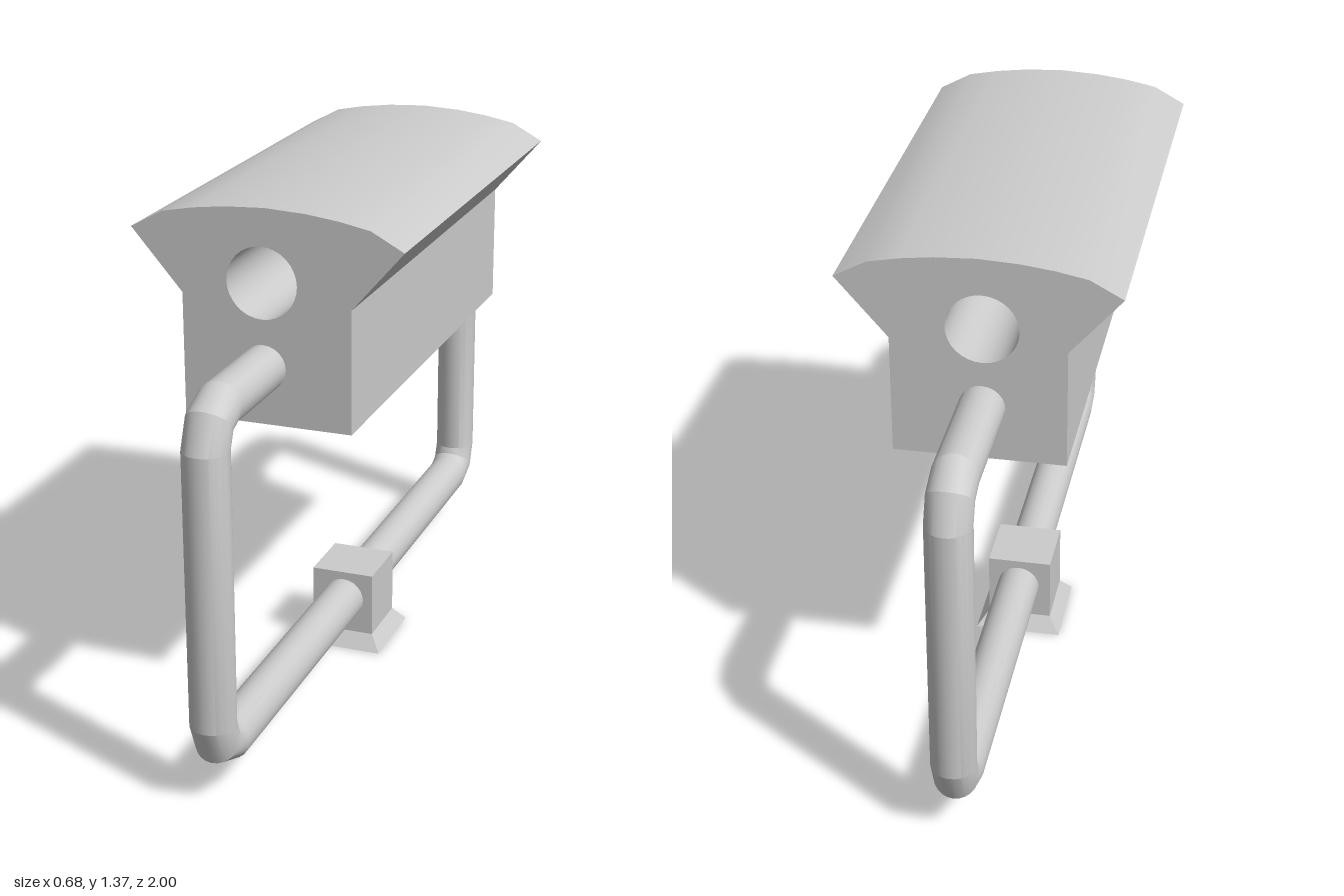
import * as THREE from 'three';
import { toCreasedNormals } from 'three/addons/utils/BufferGeometryUtils.js';

const material = new THREE.MeshStandardMaterial({ color: 0xcccccc });

function part(name, geometry, x = 0, y = 0, z = 0) {
  const mesh = new THREE.Mesh(toCreasedNormals(geometry, 0.35), material);
  mesh.name = name;
  mesh.position.set(x, y, z);
  return mesh;
}

// Flared block with a crowned top and a round bore, extruded along z
function headGeometry() {
  const half = [[0.211, 0.84], [0.211, 1.145], [0.338, 1.293], [0.257, 1.337], [0.18, 1.352], [0.1, 1.362]];
  const mirrored = half.map(([x, y]) => [-x, y]).reverse();
  const outline = [...half, [0, 1.367], ...mirrored].map(([x, y]) => new THREE.Vector2(x, y));
  const shape = new THREE.Shape(outline);
  shape.holes.push(new THREE.Path().absarc(-0.01, 1.187, 0.088, 0, Math.PI * 2, true));
  return new THREE.ExtrudeGeometry(shape, { depth: 1.17, bevelEnabled: false, curveSegments: 16 });
}

// Closed rectangular pipe in the zy plane; each corner bends in two steps
function pipeLoopGeometry() {
  const sides = 24, tube = 0.056, bend = 0.079;
  const corners = [[0.864, 0.902], [-0.864, 0.902], [-0.864, 0.215], [0.864, 0.215]];
  const positions = [], index = [];
  corners.forEach(([cz, cy], corner) => {
    for (let step = 0; step < 3; step++) {
      const a = (corner + step / 2) * Math.PI / 2;
      for (let s = 0; s < sides; s++) {
        const t = (s / sides) * Math.PI * 2;
        const r = bend + tube * Math.cos(t);
        positions.push(tube * Math.sin(t), cy + r * Math.sin(a), cz + r * Math.cos(a));
      }
    }
  });
  const rings = corners.length * 3;
  for (let r = 0; r < rings; r++) {
    for (let s = 0; s < sides; s++) {
      const next = ((r + 1) % rings) * sides, s1 = (s + 1) % sides;
      const a = r * sides + s, b = r * sides + s1, c = next + s1, d = next + s;
      index.push(a, d, b, b, d, c);
    }
  }
  const geometry = new THREE.BufferGeometry();
  geometry.setAttribute('position', new THREE.Float32BufferAttribute(positions, 3));
  geometry.setIndex(index);
  // Make sure the faces point outwards: compare the first face with its radial direction
  geometry.computeVertexNormals();
  if (geometry.attributes.normal.getZ(0) < 0) geometry.setIndex(index.reverse());
  return geometry;
}

export function createModel() {
  const group = new THREE.Group();
  group.name = 'pipeHandle';

  group.add(part('head', headGeometry(), -0.002, 0, -0.565));
  group.add(part('pipeLoop', pipeLoopGeometry(), -0.01));

  // Small clamp block on a flared square foot
  group.add(part('clampBlock', new THREE.BoxGeometry(0.17, 0.173, 0.17), -0.013, 0.1265, -0.015));
  const foot = new THREE.CylinderGeometry(0.085 * Math.SQRT2, 0.115 * Math.SQRT2, 0.04, 4);
  foot.rotateY(Math.PI / 4);
  group.add(part('clampFoot', foot, -0.013, 0.02, -0.015));

  return group;
}
